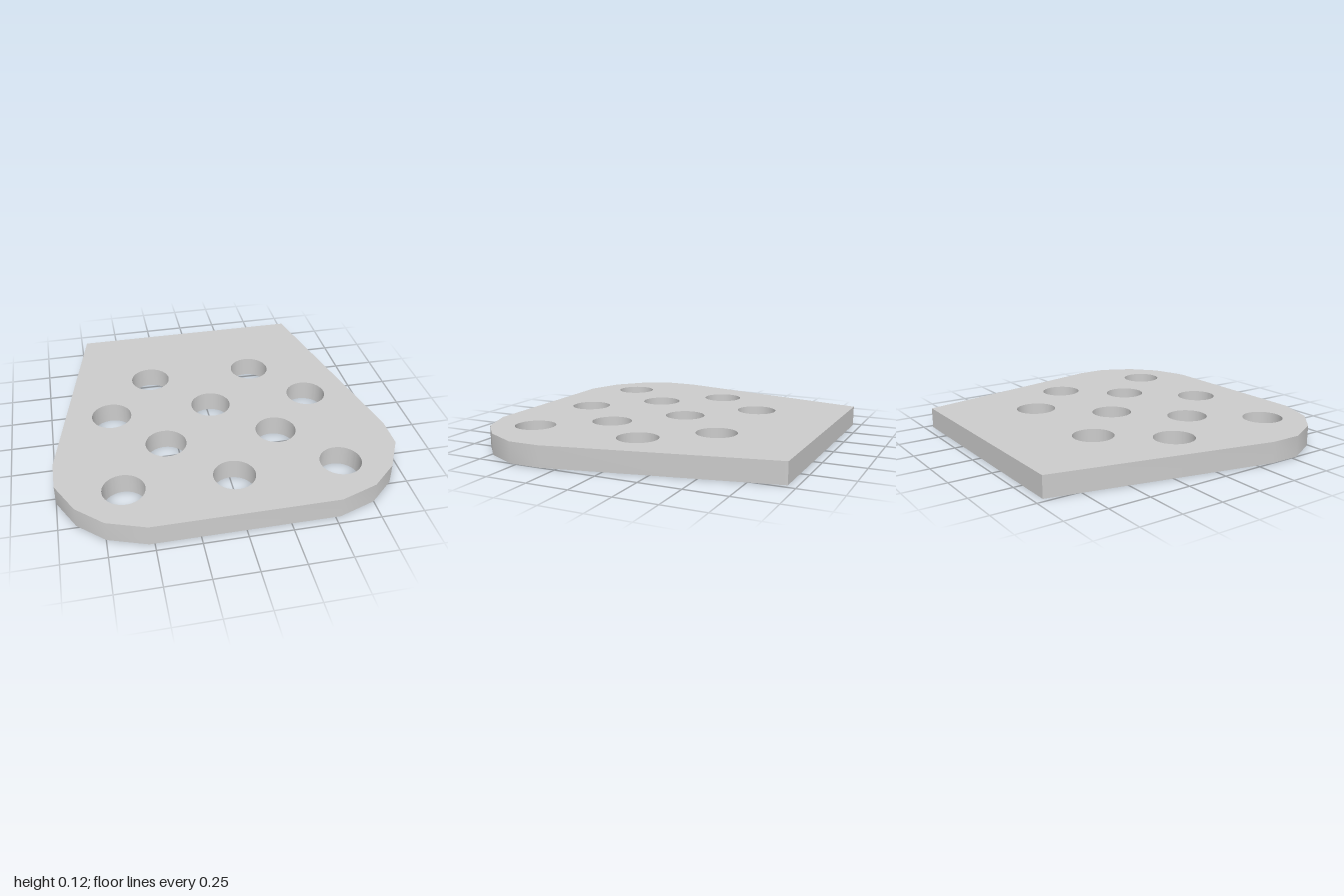
import * as THREE from 'three';
import { toCreasedNormals } from 'three/addons/utils/BufferGeometryUtils.js';

const THICKNESS = 0.125;
const HOLE_RADIUS = 0.121;

// Right half of the outline as [x, z], from the front edge to the back edge
const HALF_OUTLINE = [
  [0.53, 0.95], [0.75, 0.873], [0.9, 0.737], [1, 0.54], [1, 0.35], [0.717, -0.95],
];

// Staggered rows of holes
const HOLE_ROWS = [
  { z: -0.406, xs: [-0.335, 0.335] },
  { z: -0.052, xs: [-0.625, 0, 0.625] },
  { z: 0.281, xs: [-0.335, 0.335] },
  { z: 0.636, xs: [-0.625, 0, 0.625] },
];

export function createModel() {
  const group = new THREE.Group();
  group.name = 'perforatedPlate';

  // Tapered outline with chamfered front corners, counterclockwise; shape y is -z
  const mirrored = HALF_OUTLINE.map(([x, z]) => [-x, z]).reverse();
  const outline = [...HALF_OUTLINE, ...mirrored].map(([x, z]) => new THREE.Vector2(x, -z));
  const shape = new THREE.Shape(outline);

  // Round through holes, clockwise so their walls face inward
  for (const { z, xs } of HOLE_ROWS) {
    for (const x of xs) {
      shape.holes.push(new THREE.Path().absarc(x, -z, HOLE_RADIUS, 0, Math.PI * 2, true));
    }
  }

  // Plate laid flat, standing on y = 0
  const geometry = new THREE.ExtrudeGeometry(shape, {
    depth: THICKNESS, bevelEnabled: false, curveSegments: 40,
  });
  geometry.rotateX(-Math.PI / 2);

  const plate = new THREE.Mesh(
    toCreasedNormals(geometry, 0.5),
    new THREE.MeshStandardMaterial({ color: 0xcccccc }),
  );
  plate.name = 'plate';
  group.add(plate);
  return group;
}
